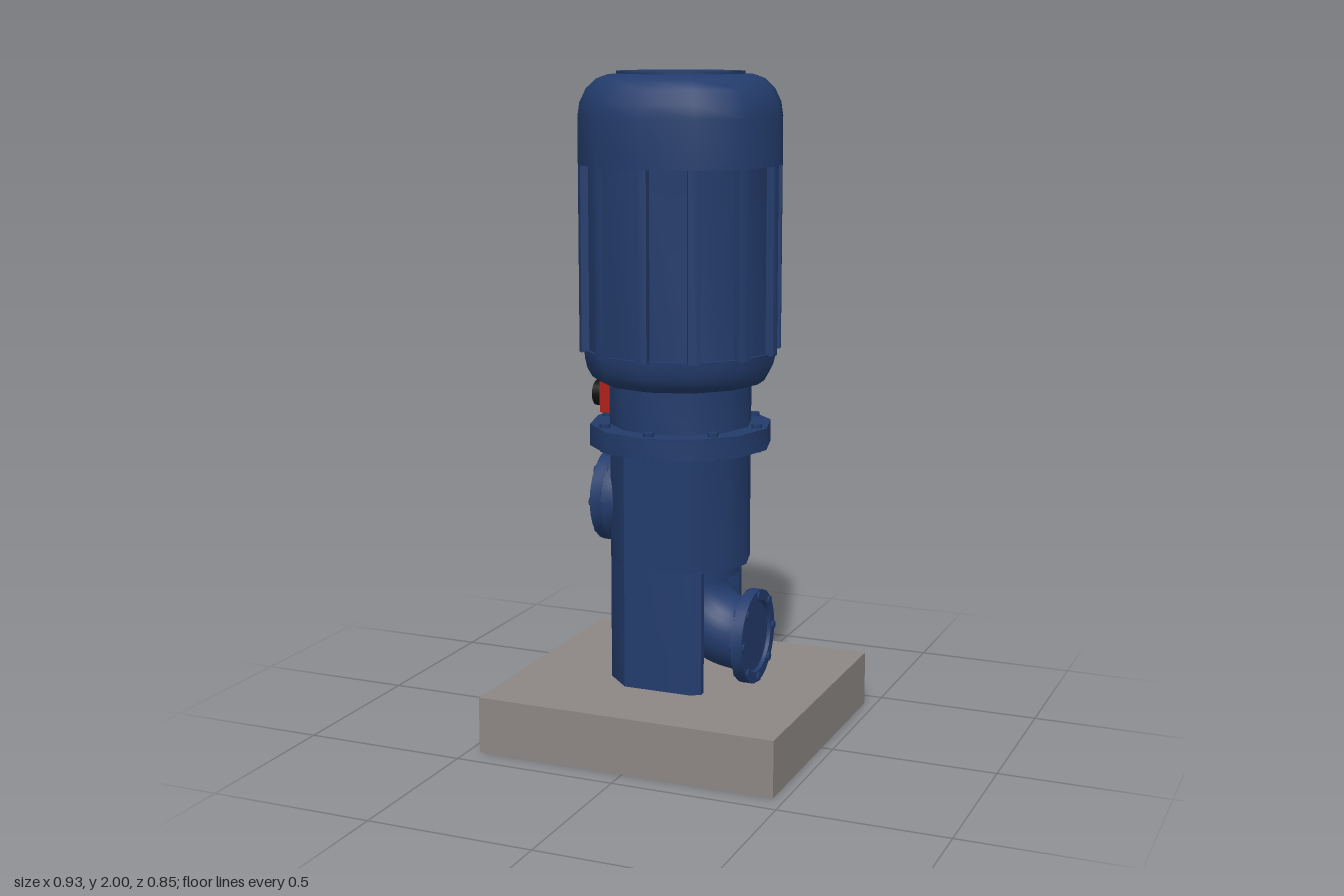
import * as THREE from 'three';
import { toCreasedNormals } from 'three/addons/utils/BufferGeometryUtils.js';

const paint = (color) => new THREE.MeshStandardMaterial({ color });
const blue = paint(0x233c6c), stone = paint(0x8d8885), red = paint(0xb0201a);
const black = paint(0x111111), white = paint(0xdddddd);

function add(parent, name, geometry, material, x = 0, y = 0, z = 0) {
  const mesh = new THREE.Mesh(geometry, material);
  mesh.name = name;
  mesh.position.set(x, y, z);
  parent.add(mesh);
  return mesh;
}

// Turned part with sharp corners kept, profile runs from bottom to top
function turned(points, sides) {
  const profile = points.map(([r, y]) => new THREE.Vector2(r, y));
  return toCreasedNormals(new THREE.LatheGeometry(profile, sides), 0.62);
}

// Plan outline (x, z) raised upwards
function raised(points, height) {
  const shape = new THREE.Shape(points.map(([x, z]) => new THREE.Vector2(x, -z)));
  const geometry = new THREE.ExtrudeGeometry(shape, { depth: height, bevelEnabled: false });
  return toCreasedNormals(geometry.rotateX(-Math.PI / 2), 0.62);
}

// Ring of hexagonal bolts round the local y axis
function boltRing(parent, count, ringRadius, boltRadius, height, y) {
  for (let i = 0; i < count; i++) {
    const a = (i / count) * Math.PI * 2;
    add(parent, 'bolt', new THREE.CylinderGeometry(boltRadius, boltRadius, height, 6), blue,
      Math.cos(a) * ringRadius, y, Math.sin(a) * ringRadius);
  }
}

// Pipe flange facing local +y with a shallow recessed face
function pipeFlange(name) {
  const g = new THREE.Group();
  g.name = name;
  add(g, 'flangeDisc', turned([[0, 0], [0.143, 0], [0.143, 0.035], [0.11, 0.035], [0.105, 0.025], [0, 0.025]], 24), blue);
  boltRing(g, 8, 0.127, 0.014, 0.046, 0.0175);
  return g;
}

function motor() {
  const g = new THREE.Group();
  g.name = 'motor';
  add(g, 'motorLowerBowl', turned([[0, 1.09], [0.245, 1.09], [0.266, 1.105], [0.28, 1.13], [0.287, 1.16], [0.289, 1.185], [0, 1.185]], 12), blue);
  add(g, 'motorCore', turned([[0.28, 1.18], [0.28, 1.74]], 12), blue);
  add(g, 'motorCap', turned([[0, 1.73], [0.303, 1.73], [0.303, 1.87], [0.297, 1.91], [0.278, 1.95],
    [0.248, 1.978], [0.215, 1.99], [0.19, 1.992], [0.19, 2], [0, 2]], 12), blue);
  // Ribs on the twelve corners, leaving recessed panels between
  const rib = raised([[0.26, -0.018], [0.298, -0.018], [0.303, 0], [0.298, 0.018], [0.26, 0.018]], 0.55);
  for (let i = 0; i < 12; i++) add(g, 'motorRib', rib, blue, 0, 1.18, 0).rotation.y = (i * Math.PI) / 6;
  return g;
}

function column() {
  const g = new THREE.Group();
  g.name = 'column';
  // Round column flattened on its front and back
  const ring = (r) => [0, 30, 60, 120, 150, 180, 210, 240, 300, 330].map((d) => {
    const a = THREE.MathUtils.degToRad(d);
    return [r * Math.cos(a), r * Math.sin(a)];
  });
  add(g, 'columnUpper', raised(ring(0.213), 0.37), blue, 0, 0.54, 0);
  // Lower shell is open towards the outlet
  const cut = 0.135;
  const outer = ring(0.213).slice(2, 9), inner = ring(0.193).slice(2, 9).reverse();
  const shell = [[cut, 0.166], ...outer, [cut, -0.166], [cut, -0.146], ...inner, [cut, 0.146]];
  add(g, 'columnLowerShell', raised(shell, 0.38), blue, 0, 0.165, 0);

  // Collar flange joining the column and the motor
  add(g, 'collarFlange', turned([[0, 0.895], [0.274, 0.895], [0.274, 0.96], [0, 0.96]], 12), blue);
  boltRing(g, 8, 0.243, 0.016, 0.084, 0.93);
  add(g, 'motorNeck', turned([[0.214, 0.95], [0.214, 1.1]], 12), blue);
  return g;
}

function outlet() {
  const g = new THREE.Group();
  g.name = 'lowerOutlet';
  add(g, 'elbowCollar', turned([[0, 0], [0.15, 0], [0.15, 0.036], [0, 0.036]], 24), blue, 0.03, 0.505, 0);
  // Elbow bending from the column out to the side
  class Bend extends THREE.Curve {
    getPoint(t, target = new THREE.Vector3()) {
      const a = Math.PI + (t * Math.PI) / 2;
      return target.set(0.21 + 0.18 * Math.cos(a), 0.5 + 0.18 * Math.sin(a), 0);
    }
  }
  add(g, 'elbow', new THREE.TubeGeometry(new Bend(), 16, 0.11, 24), blue);
  add(g, 'elbowTop', new THREE.CylinderGeometry(0.11, 0.11, 0.02, 24), blue, 0.03, 0.503, 0);
  const flange = pipeFlange('outletFlange');
  flange.position.set(0.218, 0.318, 0);
  flange.rotation.z = -Math.PI / 2;
  g.add(flange);
  return g;
}

function inlet() {
  const g = new THREE.Group();
  g.name = 'upperInlet';
  const neck = add(g, 'inletNeck', turned([[0.1, 0], [0.115, 0.05], [0.143, 0.09]], 24), blue, -0.115, 0.72, 0);
  neck.rotation.z = Math.PI / 2;
  const flange = pipeFlange('inletFlange');
  flange.position.set(-0.203, 0.72, 0);
  flange.rotation.z = Math.PI / 2;
  g.add(flange);
  return g;
}

function gaugePanel() {
  const g = new THREE.Group();
  g.name = 'gaugePanel';
  add(g, 'gaugePlate', new THREE.BoxGeometry(0.032, 0.1, 0.2), red, -0.206, 1.04, 0);
  for (const z of [-0.045, 0.045]) {
    const body = add(g, 'gaugeBody', new THREE.CylinderGeometry(0.039, 0.039, 0.035, 20), black, -0.238, 1.04, z);
    body.rotation.z = Math.PI / 2;
    const dial = add(g, 'gaugeDial', new THREE.CircleGeometry(0.031, 20), white, -0.2565, 1.04, z);
    dial.rotation.y = -Math.PI / 2;
    const needle = add(g, 'gaugeNeedle', new THREE.BoxGeometry(0.002, 0.03, 0.005), black, -0.257, 1.046, z);
    needle.rotation.x = 0.6;
  }
  return g;
}

export function createModel() {
  const model = new THREE.Group();
  model.name = 'verticalPump';
  add(model, 'basePlinth', new THREE.BoxGeometry(0.93, 0.17, 0.854), stone, 0, 0.085, 0);
  const pump = new THREE.Group();
  pump.name = 'pump';
  pump.position.z = -0.016;
  pump.add(motor(), column(), outlet(), inlet(), gaugePanel());
  model.add(pump);
  return model;
}
